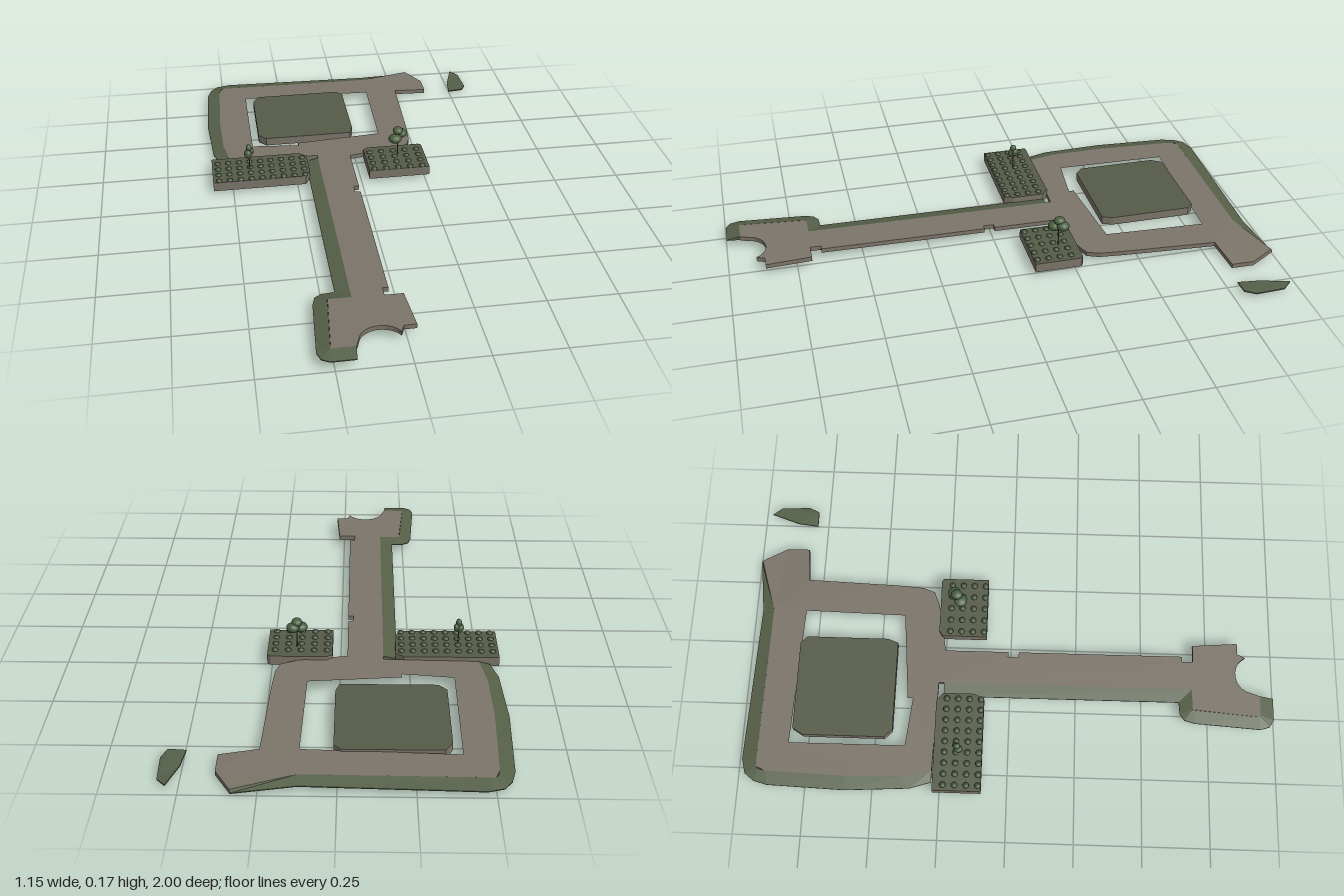
import * as THREE from 'three';

const mat = (name, color) => Object.assign(new THREE.MeshStandardMaterial({ color }), { name });

// Height of the paving surface: gentle slope, with a ramp down at the side arm
function surface(x, z) {
  const slope = z > -0.27 ? 0.0085 : 0.012;
  const ramp = THREE.MathUtils.clamp((x - 0.24) / 0.15, 0, 1) * 0.013;
  return 0.036 + slope * (z + 0.27) - ramp;
}

// Flat slab from plan points [x, z]
function slab(points, holes, y0, y1) {
  const toV = ([x, z]) => new THREE.Vector2(x, -z);
  const shape = new THREE.Shape(points.map(toV));
  for (const h of holes) shape.holes.push(new THREE.Path(h.map(toV)));
  const g = new THREE.ExtrudeGeometry(shape, { depth: y1 - y0, bevelEnabled: false });
  return g.rotateX(-Math.PI / 2).translate(0, y0, 0);
}

// Move vertices vertically by a rule
function lift(g, rule) {
  const p = g.attributes.position;
  for (let i = 0; i < p.count; i++) p.setY(i, p.getY(i) + rule(p.getX(i), p.getZ(i)));
  g.computeVertexNormals();
  return g;
}

// Sloping verge lofted between inner and outer edges: [xIn, zIn, xOut, zOut]
function vergeGeometry(pairs) {
  const rows = pairs.map(([xi, zi, xo, zo]) => {
    const a = surface(xi, zi), b = surface(xo, zo);
    return [[xi, a, zi], [xo, b - 0.011, zo], [xo, b - 0.0145, zo], [xi, a - 0.0145, zi]];
  });
  const pos = [];
  const quad = (a, b, c, d) => pos.push(...a, ...b, ...c, ...a, ...c, ...d);
  for (let i = 0; i < rows.length - 1; i++) {
    const r = rows[i], s = rows[i + 1];
    for (let k = 0; k < 4; k++) quad(r[k], s[k], s[(k + 1) % 4], r[(k + 1) % 4]);
  }
  const e = rows[rows.length - 1];
  quad(...rows[0]);
  quad(e[3], e[2], e[1], e[0]);
  const g = new THREE.BufferGeometry();
  g.setAttribute('position', new THREE.Float32BufferAttribute(pos, 3));
  g.computeVertexNormals();
  return g;
}

export function createModel() {
  const paving = mat('paving', 0x7c756a);
  const grass = mat('grass', 0x565b48);
  const verge = mat('verge', 0x566048);
  const leaf = mat('foliage', 0x4b6040);
  const shrub = mat('shrub', 0x44543a);
  const bark = mat('bark', 0x5a5044);

  const model = new THREE.Group();
  const add = (name, geo, material, parent = model) => {
    const m = new THREE.Mesh(geo, material);
    m.name = name;
    parent.add(m);
    return m;
  };

  // Paved ring, side arm and long path with a scalloped end
  const scallop = [];
  for (let i = 0; i <= 10; i++) {
    const a = -0.45 - (i / 10) * 2.55;
    scallop.push([-0.09 + 0.075 * Math.cos(a), 0.925 + 0.07 * Math.sin(a)]);
  }
  const outline = [
    [-0.5, -0.28], [-0.522, -0.4], [-0.527, -0.6], [-0.515, -0.9], [-0.5, -0.935],
    [0.125, -0.928], [0.335, -0.995], [0.39, -0.9], [0.39, -0.815], [0.255, -0.8],
    [0.24, -0.45], [0.232, -0.35], [0.215, -0.305], [0.16, -0.283], [-0.025, -0.25],
    [-0.025, -0.01], [-0.045, -0.01], [-0.045, 0.03], [-0.025, 0.03],
    [-0.025, 0.655], [-0.045, 0.655], [-0.045, 0.695], [0.02, 0.695],
    [0.033, 0.865], [-0.01, 0.865], ...scallop,
    [-0.175, 0.945], [-0.257, 0.945], [-0.235, 0.69], [-0.155, 0.69], [-0.155, -0.27],
  ];
  const opening = [[-0.405, -0.82], [0.125, -0.8], [0.115, -0.415], [-0.22, -0.385], [-0.22, -0.365], [-0.405, -0.385]];
  add('pavedRoad', lift(slab(outline, [opening], -0.017, 0), surface), paving);

  // Sloping verges outside the ring and along the path
  add('ringVerge', vergeGeometry([
    [-0.5, -0.28, -0.54, -0.28], [-0.522, -0.4, -0.565, -0.36], [-0.527, -0.6, -0.578, -0.6],
    [-0.515, -0.9, -0.566, -0.89], [-0.508, -0.925, -0.552, -0.94], [-0.5, -0.935, -0.525, -0.975],
    [-0.49, -0.935, -0.47, -0.99], [0.125, -0.928, 0.125, -0.972], [0.335, -0.995, 0.335, -1],
  ]), verge);
  add('pathVerge', vergeGeometry([
    [-0.175, 0.945, -0.18, 0.996], [-0.25, 0.945, -0.265, 0.996], [-0.255, 0.945, -0.292, 0.98],
    [-0.257, 0.94, -0.303, 0.945], [-0.237, 0.7, -0.286, 0.7], [-0.236, 0.692, -0.275, 0.66],
    [-0.23, 0.69, -0.25, 0.643], [-0.155, 0.69, -0.205, 0.64], [-0.155, -0.25, -0.205, -0.25],
  ]), verge);

  // Lawn island with clipped corners inside the ring
  add('lawnIsland', slab([
    [-0.375, -0.77], [-0.35, -0.81], [-0.01, -0.81], [0.015, -0.785],
    [0.015, -0.475], [0, -0.435], [-0.345, -0.435], [-0.375, -0.465],
  ], [], 0.006, 0.038), [grass, paving]);

  // Small detached patch beyond the arm
  const patch = slab([[0.495, -0.79], [0.505, -0.87], [0.54, -0.975], [0.57, -0.94], [0.575, -0.83], [0.555, -0.79]], [], 0.01, 0.015);
  add('detachedPatch', lift(patch, (x) => (x > 0.53 && x < 0.56 ? 0.003 : -0.001)), verge);

  // Raised beds with rows of round shrubs
  const shrubGeo = new THREE.SphereGeometry(1, 10, 6);
  shrubGeo.scale(0.012, 0.008, 0.012);
  function bed(name, plan, x0, step, columns) {
    const group = new THREE.Group();
    group.name = name;
    add('bedBase', slab(plan, [], 0.014, 0.05), [grass, paving], group);
    for (let c = 0; c < columns; c++) {
      for (let r = 0; r < 4; r++) {
        add('shrub', shrubGeo, shrub, group).position.set(x0 + c * step, 0.051, -0.236 + r * 0.043);
      }
    }
    model.add(group);
  }
  bed('rightBed', [
    [-0.575, -0.275], [-0.23, -0.275], [-0.2, -0.25], [-0.2, -0.13], [-0.22, -0.095], [-0.575, -0.095],
  ], -0.553, 0.0415, 9);
  bed('leftBed', [
    [0.03, -0.265], [0.05, -0.278], [0.255, -0.278], [0.267, -0.27], [0.267, -0.095], [0.03, -0.095],
  ], 0.05, 0.0475, 5);

  // Trees: thin trunk and egg-shaped clumps [dx, y, dz, rx, ry, rz]
  function tree(name, x, z, clumps) {
    const group = new THREE.Group();
    group.name = name;
    group.position.set(x, 0, z);
    add('trunk', new THREE.CylinderGeometry(0.0018, 0.0025, 0.09, 6), bark, group).position.y = 0.09;
    for (const [dx, y, dz, rx, ry, rz] of clumps) {
      const clump = add('foliage', new THREE.SphereGeometry(1, 14, 10), leaf, group);
      clump.position.set(dx, y, dz);
      clump.scale.set(rx, ry, rz);
    }
    model.add(group);
  }
  tree('rightTree', -0.43, -0.185, [
    [-0.004, 0.118, 0.004, 0.015, 0.019, 0.017], [0, 0.142, 0, 0.011, 0.015, 0.013], [0.009, 0.125, -0.006, 0.01, 0.015, 0.013],
  ]);
  tree('leftTree', 0.16, -0.21, [
    [-0.013, 0.127, 0.012, 0.026, 0.018, 0.026], [0, 0.155, -0.002, 0.02, 0.015, 0.022], [0.014, 0.138, -0.012, 0.024, 0.018, 0.024],
  ]);

  return model;
}
